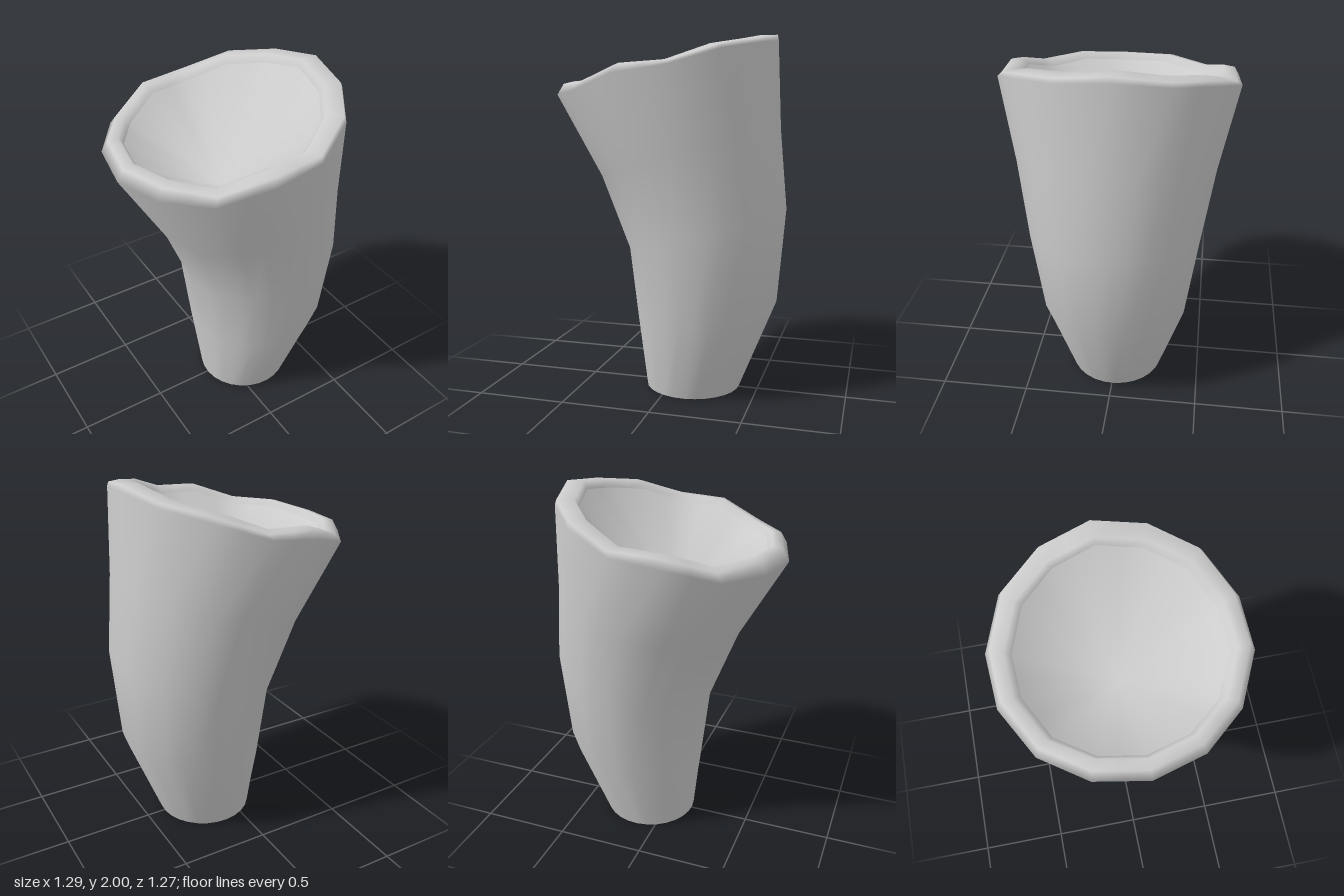
import * as THREE from 'three';

const SIDES = 14, COLS = SIDES * 2, TWIST = -0.05;
// Rim unevenness from the +x side round to -x, mirrored front to back
const WAVE = [0, -0.025, -0.03, -0.06, -0.015, -0.04, 0, 0];

// Tilted rings: left x,y / right x,y / half depth / share of the rim wave
const WALL = [
  [-0.15, 0, 0.39, 0, 0.27, 0],
  [-0.2, 0.42, 0.6, 0.52, 0.41, 0],
  [-0.245, 0.82, 0.645, 1.05, 0.475, 0],
  [-0.4, 1.22, 0.605, 1.49, 0.545, 0.1],
  [-0.65, 1.66, 0.583, 1.97, 0.645, 0.7],
  [-0.615, 1.72, 0.578, 2.0, 0.62, 1],
  [-0.56, 1.735, 0.48, 2.0, 0.555, 1],
  [-0.535, 1.7, 0.463, 1.96, 0.52, 1],
];
const INNER = WALL[WALL.length - 1];

function ringPoint([lx, ly, rx, ry, depth, wave], a, k) {
  const c = Math.cos(a + TWIST);
  return new THREE.Vector3(
    (lx + rx) / 2 + ((rx - lx) / 2) * c,
    (ly + ry) / 2 + ((ry - ly) / 2) * c + wave * WAVE[Math.min(k, SIDES - k)],
    depth * Math.sin(a + TWIST));
}

// A ring of flat-sided columns; the base ring is a true circle
function makeRing(ring, round) {
  const step = (2 * Math.PI) / SIDES, points = [];
  for (let k = 0; k < SIDES; k++) {
    const p = ringPoint(ring, k * step, k);
    const q = ringPoint(ring, (k + 1) * step, (k + 1) % SIDES);
    points.push(p, round ? ringPoint(ring, (k + 0.5) * step, k) : p.clone().lerp(q, 0.5));
  }
  return points;
}

function surface(points, index) {
  const geometry = new THREE.BufferGeometry().setFromPoints(points);
  geometry.setIndex(index);
  geometry.computeVertexNormals();
  return geometry;
}

// Skins a stack of rings, running upwards on the outside
function skin(rings) {
  const index = [];
  for (let r = 0; r < rings.length - 1; r++) {
    for (let i = 0; i < COLS; i++) {
      const j = (i + 1) % COLS;
      const a = r * COLS + i, b = r * COLS + j, c = a + COLS, d = b + COLS;
      index.push(a, c, b, b, c, d);
    }
  }
  return surface(rings.flat(), index);
}

// Closes a ring with an upward-facing fan to a centre point
function fan(ring, centre) {
  const index = [];
  for (let i = 0; i < COLS; i++) index.push(i, COLS, (i + 1) % COLS);
  return surface([...ring, centre], index);
}

export function createModel() {
  const group = new THREE.Group();
  const material = new THREE.MeshStandardMaterial({ color: 0xcccccc, side: THREE.DoubleSide });
  const add = (name, geometry) => {
    const mesh = new THREE.Mesh(geometry, material);
    mesh.name = name;
    group.add(mesh);
  };

  // Bent, flaring wall with its rolled, uneven rim, open underneath
  add('wallAndRim', skin(WALL.map((ring, i) => makeRing(ring, i === 0))));

  // Conical hollow inside the rim
  add('hollow', fan(makeRing(INNER, false), new THREE.Vector3(-0.03, 1.4, -0.02)));

  return group;
}
